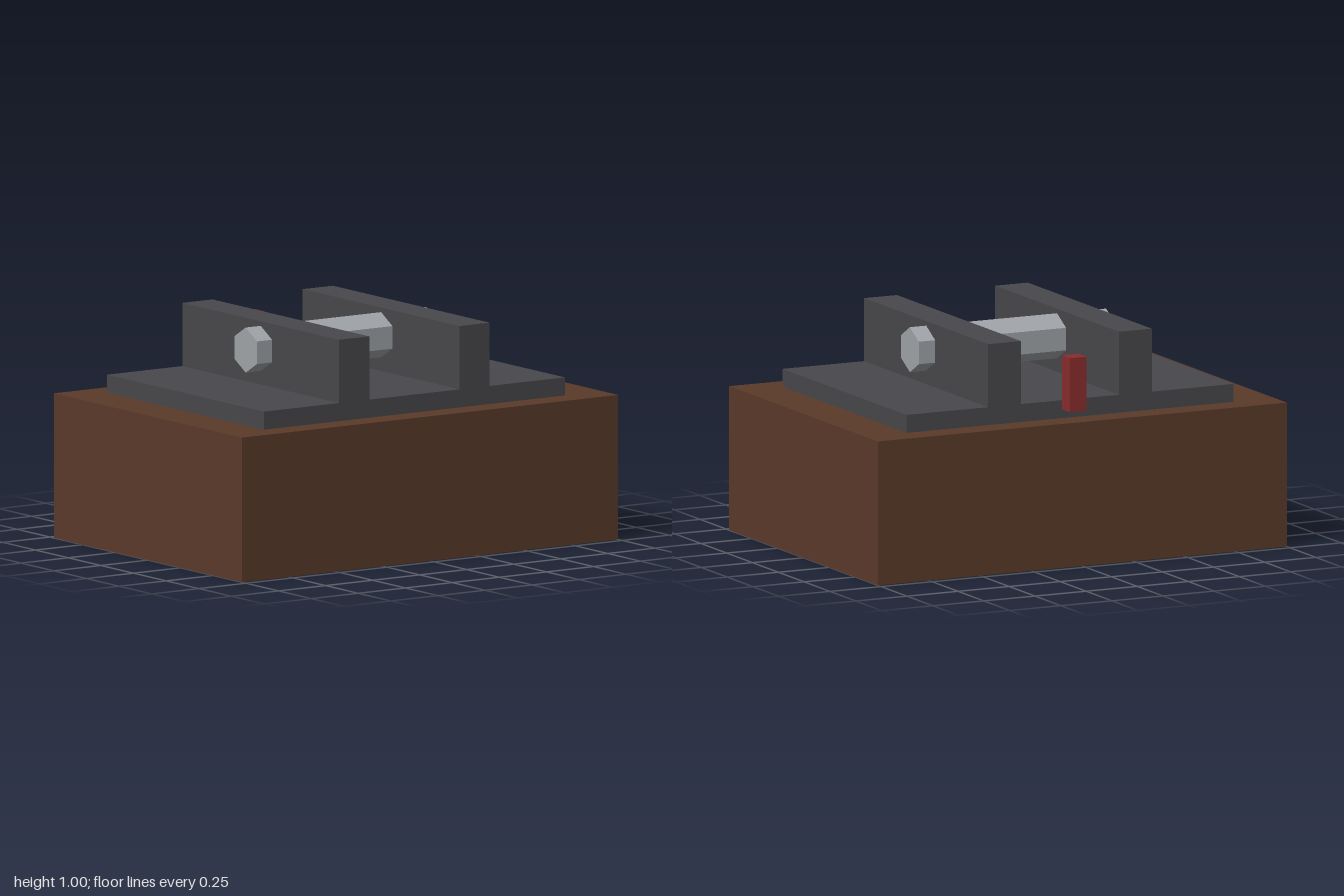
import * as THREE from 'three';

const material = (name, color) => {
  const m = new THREE.MeshStandardMaterial({ color, flatShading: true });
  m.name = name;
  return m;
};

export function createModel() {
  const group = new THREE.Group();
  const wood = material('brown wood', 0x5a3a2a);
  const iron = material('dark iron', 0x48484c);
  const steel = material('pale steel', 0xa0a4a8);
  const red = material('red paint', 0x8a2c2e);

  // Box standing on height y
  const box = (name, mat, [w, h, d], [x, y, z]) => {
    const mesh = new THREE.Mesh(new THREE.BoxGeometry(w, h, d), mat);
    mesh.name = name;
    mesh.position.set(x, y + h / 2, z);
    group.add(mesh);
  };

  box('woodenBlock', wood, [2, 0.64, 1.44], [0, 0, 0]);
  box('basePlate', iron, [1.6, 0.08, 1.2], [0, 0.64, 0]);

  // Mirrored rails along the plate
  for (const side of [1, -1]) {
    box(side > 0 ? 'leftRail' : 'rightRail', iron, [0.16, 0.28, 1.2], [side * 0.32, 0.72, 0]);
  }

  // Hexagonal cross bar through both rails, one corner pointing up
  const hex = new THREE.CylinderGeometry(0.1, 0.1, 0.96, 6);
  hex.rotateY(Math.PI / 2).rotateZ(Math.PI / 2);
  const bar = new THREE.Mesh(hex, steel);
  bar.name = 'crossBar';
  bar.position.y = 0.88;
  group.add(bar);

  // Upright tab on the back edge of the plate
  box('backTab', red, [0.08, 0.24, 0.08], [0, 0.68, -0.64]);

  return group;
}
